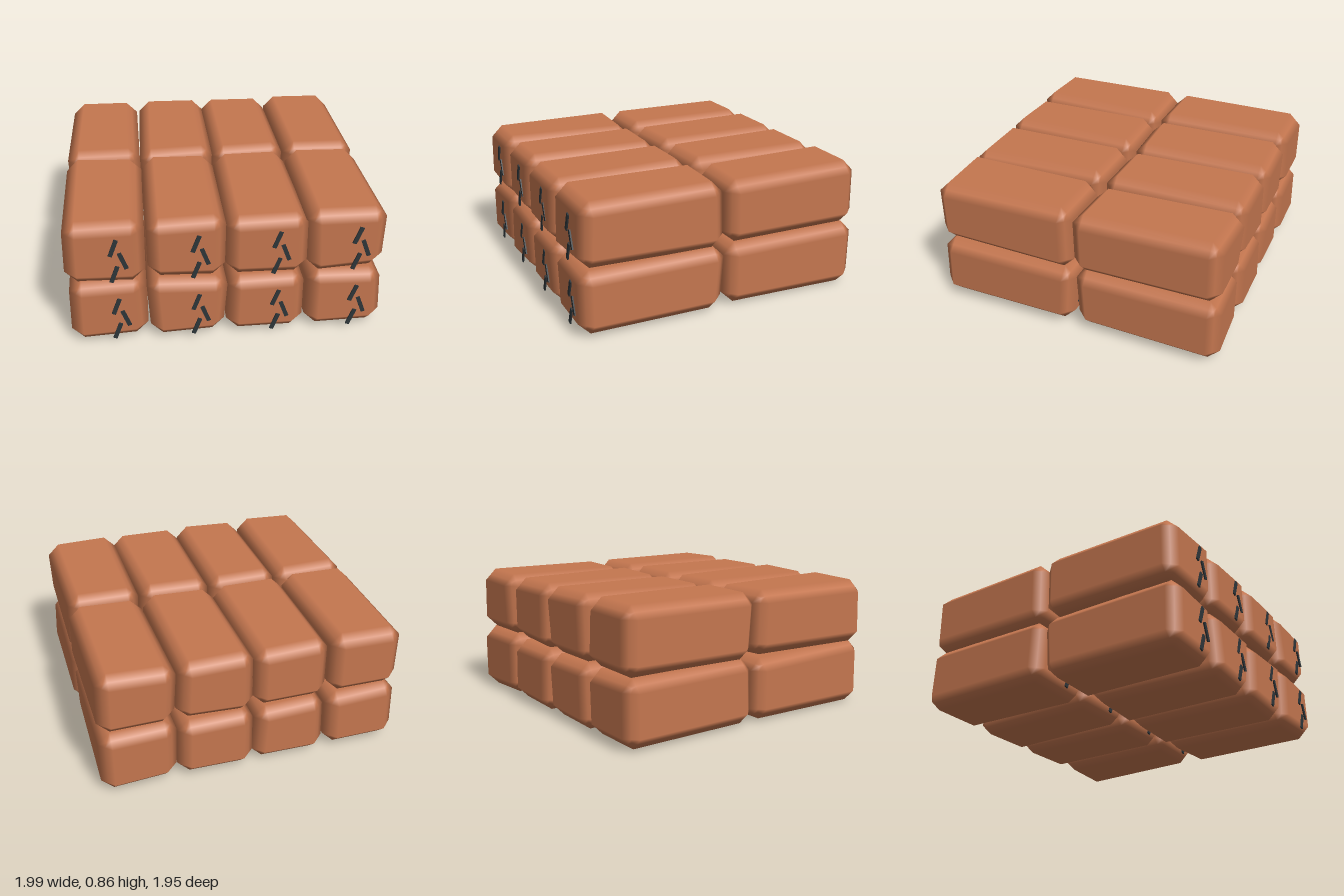
import * as THREE from 'three';

const clay = new THREE.MeshStandardMaterial({ color: 0xc4764f });
clay.name = 'terracotta';
const slate = new THREE.MeshStandardMaterial({ color: 0x2d3539 });
slate.name = 'dark slate';

const W = 0.49, H = 0.422, D = 0.962, BEVEL = 0.078;

function seeded(seed) {
  return () => {
    seed = (seed * 16807) % 2147483647;
    return seed / 2147483647;
  };
}

// Chamfered box with smooth normals; each of its 8 corners is nudged a little.
function brickGeometry(rand) {
  const nudge = Array.from({ length: 8 }, () =>
    new THREE.Vector3(rand() - 0.5, rand() - 0.5, rand() - 0.5).multiplyScalar(0.02));
  const geo = new THREE.BoxGeometry(1, 1, 1, 3, 3, 3);
  const pos = geo.attributes.position, nor = geo.attributes.normal;
  const half = new THREE.Vector3(W / 2 - BEVEL, H / 2 - BEVEL, D / 2 - BEVEL);
  const p = new THREE.Vector3(), sign = new THREE.Vector3(), dir = new THREE.Vector3();
  const outer = (v) => (Math.abs(v) > 0.4 ? Math.sign(v) : 0);
  for (let i = 0; i < pos.count; i++) {
    p.fromBufferAttribute(pos, i);
    sign.set(Math.sign(p.x), Math.sign(p.y), Math.sign(p.z));
    dir.set(outer(p.x), outer(p.y), outer(p.z));
    const corner = (sign.x > 0 ? 1 : 0) + (sign.y > 0 ? 2 : 0) + (sign.z > 0 ? 4 : 0);
    // inner box corner plus an offset on an octahedron gives flat 45 degree bevels
    p.copy(half).multiply(sign).add(nudge[corner])
      .addScaledVector(dir, BEVEL / dir.manhattanLength());
    pos.setXYZ(i, p.x, p.y, p.z);
    dir.normalize();
    nor.setXYZ(i, dir.x, dir.y, dir.z);
  }
  return geo;
}

// Three slanted dashes on the front of a brick: x, y, tilt
const DASHES = [
  [0.053, 0.062, -0.36],
  [0.108, -0.03, 0.36],
  [0.053, -0.123, -0.36],
];
const dashGeometry = new THREE.BoxGeometry(0.026, 0.118, 0.009);

function createBrick(rand) {
  const brick = new THREE.Group();
  brick.name = 'brick';
  const body = new THREE.Mesh(brickGeometry(rand), clay);
  body.name = 'brickBody';
  brick.add(body);
  for (const [x, y, tilt] of DASHES) {
    const dash = new THREE.Mesh(dashGeometry, slate);
    dash.name = 'frontDash';
    dash.position.set(x, y, D / 2 + 0.006);
    dash.rotation.z = tilt;
    brick.add(dash);
  }
  return brick;
}

export function createModel() {
  const model = new THREE.Group();
  model.name = 'brickStack';
  const rand = seeded(4217);
  // two layers, two rows, four columns
  for (const y of [0.219, 0.643]) {
    for (const z of [-0.484, 0.484]) {
      for (let col = 0; col < 4; col++) {
        const brick = createBrick(rand);
        brick.position.set((col - 1.5) * 0.495, y, z);
        model.add(brick);
      }
    }
  }
  return model;
}
